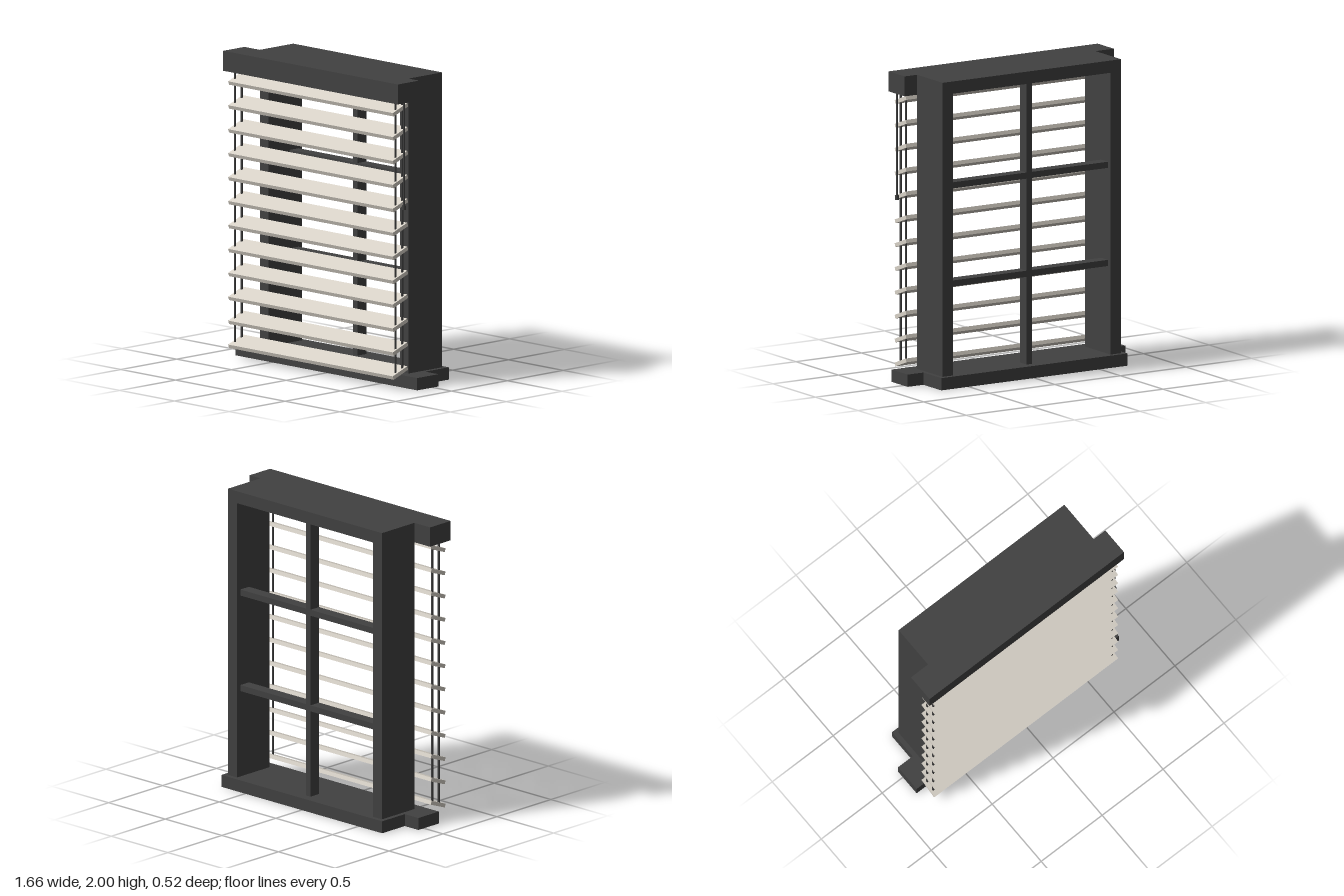
import * as THREE from 'three';

export function createModel() {
  const model = new THREE.Group();
  model.name = 'windowWithBlinds';

  const charcoal = new THREE.MeshStandardMaterial({ color: 0x414141 });
  charcoal.name = 'charcoal';
  const cream = new THREE.MeshStandardMaterial({ color: 0xd8d2c8 });
  cream.name = 'cream';

  const add = (name, geometry, material, x = 0, y = 0, z = 0) => {
    const mesh = new THREE.Mesh(geometry, material);
    mesh.name = name;
    mesh.position.set(x, y, z);
    model.add(mesh);
    return mesh;
  };
  // Box given by its limits on each axis
  const block = (name, x0, x1, y0, y1, z0, z1) =>
    add(name, new THREE.BoxGeometry(x1 - x0, y1 - y0, z1 - z0), charcoal,
      (x0 + x1) / 2, (y0 + y1) / 2, (z0 + z1) / 2);
  // Upright round rod between two heights
  const rod = (name, x, z, y0, y1, radius) =>
    add(name, new THREE.CylinderGeometry(radius, radius, y1 - y0, 10), charcoal, x, (y0 + y1) / 2, z);

  // Window frame: one extruded outline with an opening
  const SILL_TOP = 0.08;
  const frame = new THREE.Shape();
  frame.moveTo(-0.68, SILL_TOP).lineTo(-0.68, 2).lineTo(0.68, 2).lineTo(0.68, SILL_TOP);
  frame.lineTo(0.6, SILL_TOP).lineTo(0.6, 1.92).lineTo(-0.6, 1.92).lineTo(-0.6, SILL_TOP);
  add('frame', new THREE.ExtrudeGeometry(frame, { depth: 0.3, bevelEnabled: false }), charcoal, 0, 0, -0.23);

  // Sill: wider at the front, stepped in at the back
  const sill = new THREE.Shape();
  sill.moveTo(-0.83, -0.14).lineTo(0.83, -0.14).lineTo(0.83, 0.05).lineTo(0.71, 0.05);
  sill.lineTo(0.71, 0.26).lineTo(-0.71, 0.26).lineTo(-0.71, 0.05).lineTo(-0.83, 0.05);
  const sillGeometry = new THREE.ExtrudeGeometry(sill, { depth: SILL_TOP, bevelEnabled: false });
  sillGeometry.rotateX(-Math.PI / 2);
  add('sill', sillGeometry, charcoal);

  // Glazing bars
  block('verticalBar', -0.02, 0.02, SILL_TOP, 1.92, -0.2, -0.12);
  for (const y of [0.673, 1.314]) {
    for (const [x0, x1] of [[-0.6, -0.02], [0.02, 0.6]]) {
      block('horizontalBar', x0, x1, y - 0.02, y + 0.02, -0.2, -0.12);
    }
  }

  // Blind head rail
  block('headRail', -0.82, 0.775, 1.87, 2, 0.07, 0.26);

  // Tilted slats
  const slatGeometry = new THREE.BoxGeometry(1.505, 0.025, 0.138);
  for (let i = 0; i < 12; i++) {
    const slat = add('slat', slatGeometry, cream, -0.024, 0.106 + i * 0.1558, 0.19);
    slat.rotation.x = 0.36;
  }

  // Ladder cords, a front and a back one at each end
  for (const x of [-0.756, 0.709]) {
    rod('cord', x, 0.217, 0.1, 1.87, 0.007);
    rod('cord', x, 0.156, 0.12, 1.87, 0.007);
  }

  // Pull cord with its weight
  rod('pullCord', 0.757, 0.187, 1.2, 1.87, 0.006);
  rod('pullWeight', 0.757, 0.187, 1.172, 1.202, 0.013);

  return model;
}
